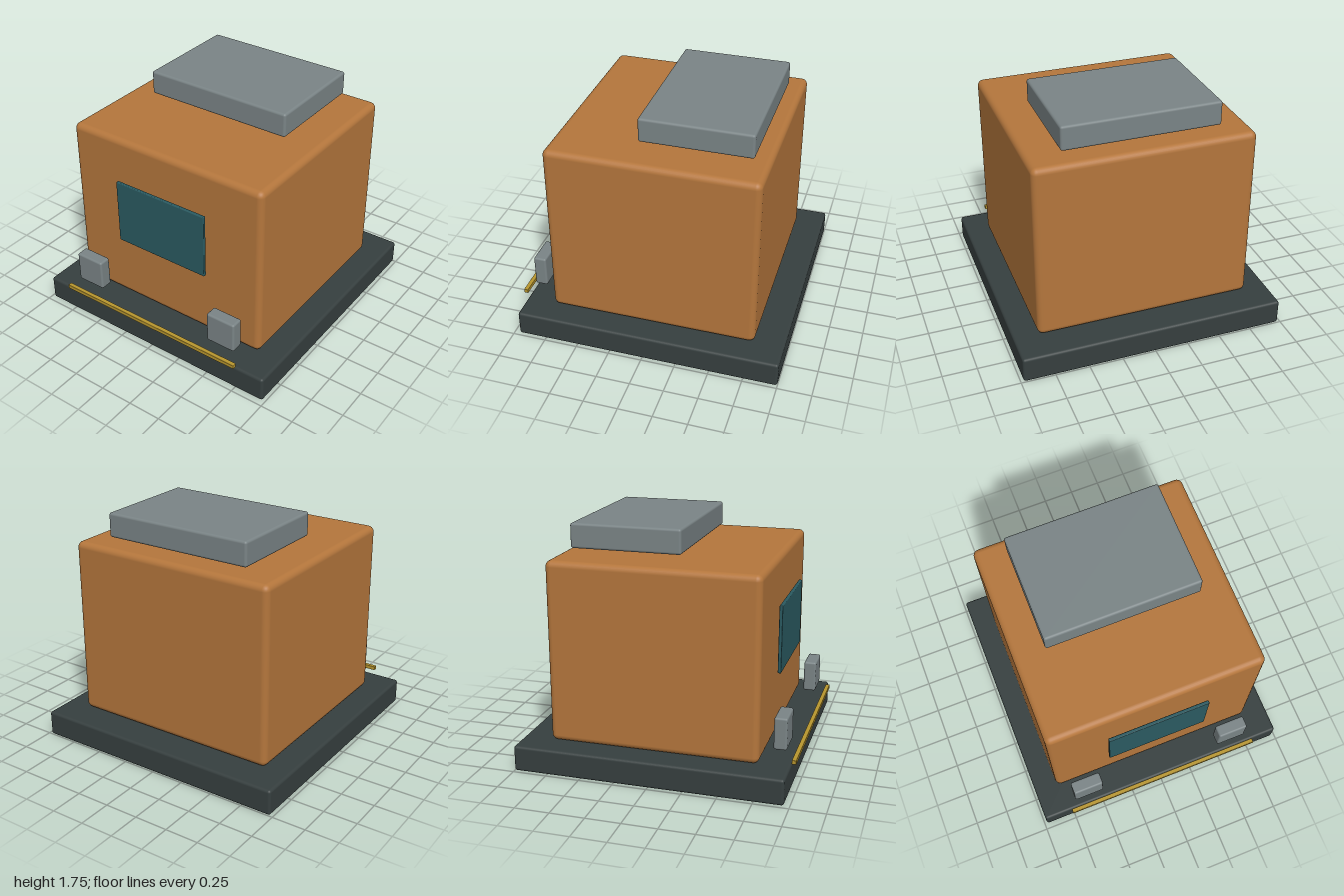
import * as THREE from 'three';
import { RoundedBoxGeometry } from 'three/addons/geometries/RoundedBoxGeometry.js';

function material(name, color) {
  const m = new THREE.MeshStandardMaterial({ color });
  m.name = name;
  return m;
}

// Rounded block given by its extents on each axis
function block(name, mat, [x0, x1], [y0, y1], [z0, z1], radius) {
  const geometry = new RoundedBoxGeometry(x1 - x0, y1 - y0, z1 - z0, 3, radius);
  const mesh = new THREE.Mesh(geometry, mat);
  mesh.position.set((x0 + x1) / 2, (y0 + y1) / 2, (z0 + z1) / 2);
  mesh.name = name;
  return mesh;
}

export function createModel() {
  const copper = material('copper', 0xb4763c);
  const charcoal = material('charcoal', 0x363f3f);
  const steel = material('steel grey', 0x7a8486);
  const glass = material('teal glass', 0x2a5a61);
  const brass = material('brass', 0xb8962e);

  const model = new THREE.Group();
  model.name = 'cabin';

  // Plinth and main body
  model.add(block('base', charcoal, [-0.98, 0.98], [0, 0.19], [-1, 0.96], 0.02));
  model.add(block('body', copper, [-0.805, 0.805], [0.19, 1.52], [-0.785, 0.745], 0.045));

  // Unit floating above the rear of the roof
  model.add(block('roofUnit', steel, [-0.575, 0.575], [1.565, 1.745], [-0.68, 0.13], 0.018));

  // Front pane, standing just off the body
  model.add(block('window', glass, [-0.38, 0.38], [0.715, 1.21], [0.78, 0.805], 0.006));

  // Pair of front blocks
  for (const [name, side] of [['leftFrontBlock', 1], ['rightFrontBlock', -1]]) {
    const x = side * 0.597;
    model.add(block(name, steel, [x - 0.115, x + 0.115], [0.28, 0.515], [0.828, 0.922], 0.015));
  }

  // Thin trim strip ahead of the base
  model.add(block('trimStrip', brass, [-0.765, 0.765], [0.212, 0.242], [0.968, 1], 0.003));

  return model;
}
